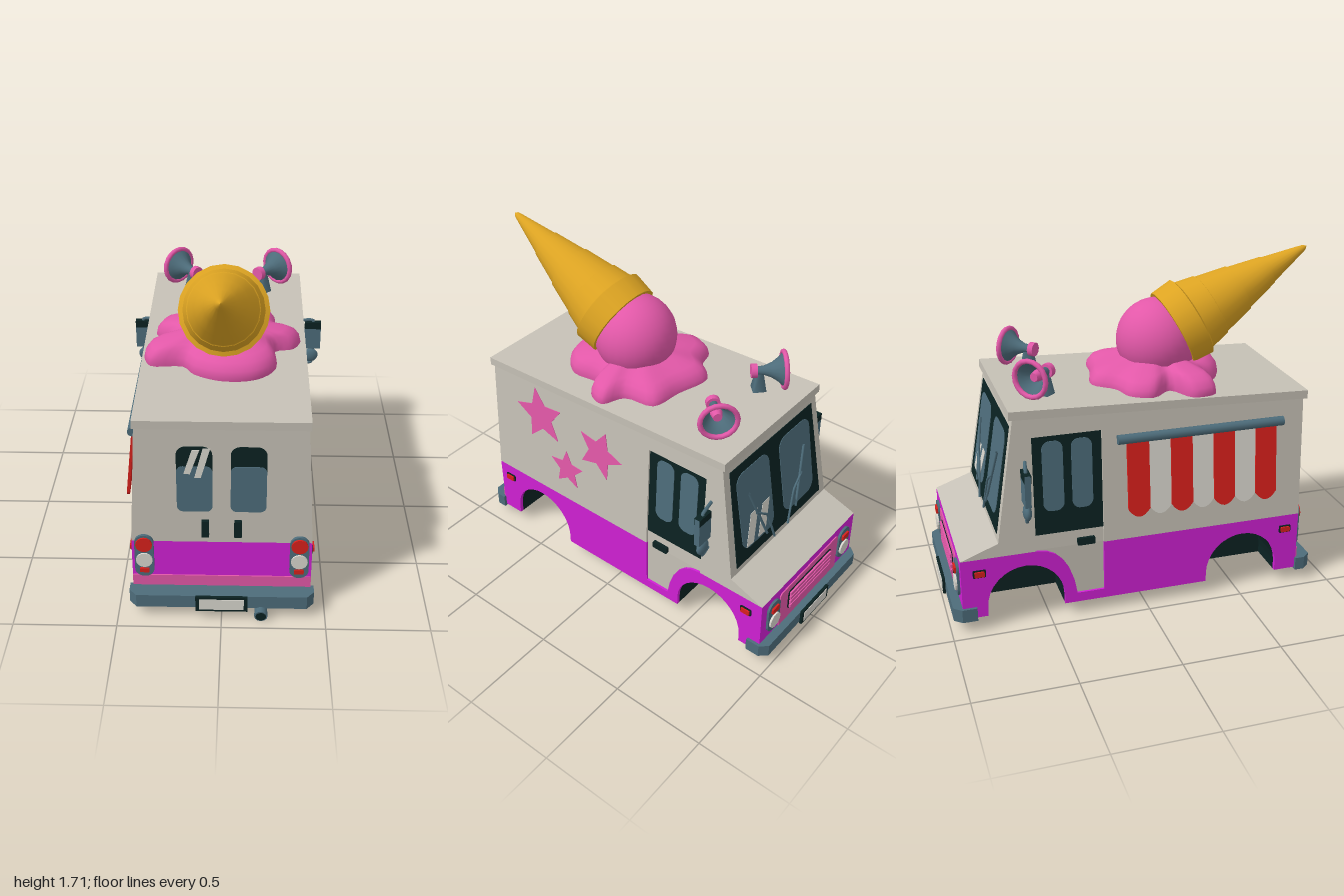
import * as THREE from 'three';

const mat = (name, color) => new THREE.MeshStandardMaterial({ name, color, side: THREE.DoubleSide });
const M = {
  beige: mat('beige paint', 0xc6c1b6), magenta: mat('magenta paint', 0xd020d4), pink: mat('pink', 0xe258a8),
  gold: mat('wafer gold', 0xdda422), steel: mat('blue grey', 0x4d6c7a), dark: mat('dark', 0x0b2222),
  red: mat('red', 0xd8201c), white: mat('off white', 0xd8d6ce),
};

// Half width of the body at height y: upright below the belt line, leaning in above it
const halfWidth = y => 0.43 - Math.max(0, y - 0.4) * 0.055;

const poly = pts => new THREE.Shape(pts.map(p => new THREE.Vector2(p[0], p[1])));
function roundRect(x0, y0, x1, y1, r) {
  const s = new THREE.Shape(), h = Math.PI / 2;
  s.absarc(x1 - r, y1 - r, r, 0, h).absarc(x0 + r, y1 - r, r, h, 2 * h);
  s.absarc(x0 + r, y0 + r, r, 2 * h, 3 * h).absarc(x1 - r, y0 + r, r, 3 * h, 4 * h);
  return s;
}
const circle = (x, y, r) => new THREE.Shape().absarc(x, y, r, 0, Math.PI * 2);
function add(parent, name, geo, material, x = 0, y = 0, z = 0) {
  const m = new THREE.Mesh(geo, material);
  m.name = name;
  m.position.set(x, y, z);
  parent.add(m);
  return m;
}
const box = (p, name, m, w, h, d, x, y, z) => add(p, name, new THREE.BoxGeometry(w, h, d), m, x, y, z);
const extrude = (shape, depth) => new THREE.ExtrudeGeometry(shape, { depth, bevelEnabled: false, curveSegments: 8 });
const plate = (p, name, shape, m, z, depth = 0.006) => add(p, name, extrude(shape, depth), m, 0, 0, z);
function tube(p, name, m, pts, r) {
  const c = new THREE.CatmullRomCurve3(pts.map(a => new THREE.Vector3(...a)), false, 'catmullrom', 0.1);
  return add(p, name, new THREE.TubeGeometry(c, pts.length * 4, r, 8), m);
}
// Extrudes a (z, y) shape and lays it on the left (s = 1) or right (s = -1) side wall
function sidePanel(p, name, shape, m, s, off, depth) {
  const g = extrude(shape, depth), a = g.attributes.position, v = [];
  for (let i = 0; i < a.count; i++) {
    const j = s > 0 ? i - (i % 3) + (2 - (i % 3)) : i, y = a.getY(j);
    const o = typeof off === 'function' ? off(y) : off;
    v.push(s * (halfWidth(y) + o + a.getZ(j)), y, a.getX(j));
  }
  const out = new THREE.BufferGeometry();
  out.setAttribute('position', new THREE.Float32BufferAttribute(v, 3));
  out.computeVertexNormals();
  return add(p, name, out, m);
}
// Strip of full-width faces following a (z, y) profile
function skin(p, name, m, prof) {
  const v = [];
  for (let i = 0; i + 1 < prof.length; i++) {
    const [z0, y0] = prof[i], [z1, y1] = prof[i + 1], a = halfWidth(y0), b = halfWidth(y1);
    v.push(a, y0, z0, b, y1, z1, -b, y1, z1, a, y0, z0, -b, y1, z1, -a, y0, z0);
  }
  const g = new THREE.BufferGeometry();
  g.setAttribute('position', new THREE.Float32BufferAttribute(v, 3));
  g.computeVertexNormals();
  add(p, name, g, m);
}
function star(z, y, r, turn) {
  return poly(Array.from({ length: 10 }, (_, i) => {
    const a = turn * Math.PI / 180 + i * Math.PI / 5, q = i % 2 ? r * 0.47 : r;
    return [z + q * Math.cos(a), y + q * Math.sin(a)];
  }));
}

function buildBody(g) {
  const arch = c => [[c - 0.195, 0.08], ...Array.from({ length: 17 }, (_, i) => {
    const a = Math.PI * (1 - i / 16);
    return [c + 0.195 * Math.cos(a), 0.13 + 0.2 * Math.sin(a)];
  }), [c + 0.195, 0.08]];
  const wells = [...arch(-0.62), ...arch(0.525)];
  const fender = [[-0.36, 0.13], [-0.375, 0.21], [-0.4, 0.28], [-0.43, 0.33], [-0.47, 0.37], [-0.51, 0.39], [-0.565, 0.4]];

  skin(g, 'upperShell', M.beige, [[0.84, 0.4], [0.84, 1.045], [-0.65, 1.095], [-0.75, 0.47], [-0.94, 0.4]]);
  skin(g, 'rearLowerWall', M.magenta, [[0.84, 0.08], [0.84, 0.4]]);
  skin(g, 'noseWall', M.magenta, [[-0.94, 0.4], [-0.94, 0.08]]);
  box(g, 'chassis', M.dark, 0.44, 0.3, 1.76, 0, 0.23, -0.05);
  box(g, 'roof', M.beige, 0.805, 0.043, 1.53, 0, 1.084, 0.095).rotation.x = 0.036;

  for (const s of [1, -1]) {
    sidePanel(g, 'wheelWells', poly([[0.83, 0.081], [0.83, 0.38], [-0.93, 0.38], [-0.93, 0.081], ...wells]), M.dark, s, -0.23, 0.209);
    sidePanel(g, 'lowerSide', poly([[0.84, 0.08], [0.84, 0.4], [-0.22, 0.4], [-0.22, 0.13], ...fender,
      [-0.94, 0.4], [-0.94, 0.08], ...wells]), M.magenta, s, -0.02, 0.02);
    sidePanel(g, 'upperSide', poly([[0.84, 0.4], [0.84, 1.045], [-0.65, 1.095], [-0.75, 0.47], [-0.94, 0.4],
      [-0.565, 0.4], [-0.565, 0.99], [-0.22, 0.99], [-0.22, 0.4]]), M.beige, s, -0.02, 0.02);
    // Recessed sliding door
    sidePanel(g, 'doorBottom', poly([[-0.22, 0.4], [-0.22, 0.13], ...fender]), M.beige, s, -0.02, 0.008);
    sidePanel(g, 'doorTop', poly([[-0.22, 0.4], [-0.22, 0.99], [-0.565, 0.99], [-0.565, 0.4]]), M.beige, s, -0.02, 0.008);
    sidePanel(g, 'doorWindow', poly([[-0.22, 0.48], [-0.22, 0.99], [-0.565, 0.99], [-0.565, 0.48]]), M.dark, s, -0.012, 0.003);
    for (const z of [-0.32, -0.465])
      sidePanel(g, 'doorPane', roundRect(z - 0.052, 0.6, z + 0.052, 0.96, 0.04), M.steel, s, -0.009, 0.003);
    sidePanel(g, 'doorHandle', roundRect(-0.355, 0.4, -0.265, 0.437, 0.006), M.dark, s, -0.012, 0.016);
    for (const z of [0.765, -0.85]) {
      sidePanel(g, 'markerFrame', roundRect(z - 0.032, 0.303, z + 0.032, 0.343, 0.006), M.dark, s, 0, 0.006);
      sidePanel(g, 'markerLamp', roundRect(z - 0.025, 0.309, z + 0.025, 0.337, 0.005), M.red, s, 0, 0.014);
    }
  }
  for (const [z, y, r, t] of [[0.51, 0.86, 0.165, 6], [0.1, 0.81, 0.15, 34], [0.325, 0.6, 0.115, 16]])
    sidePanel(g, 'starDecal', star(z, y, r, t), M.pink, 1, 0, 0.003);
}

function buildAwning(g) {
  const slope = y => 0.008 + (0.93 - y) * 0.05;
  for (let i = 0; i < 7; i++) {
    const z0 = -0.1 + i * 0.1125, z1 = z0 + 0.1125, s = new THREE.Shape();
    s.moveTo(z0, 0.93).lineTo(z0, 0.57).quadraticCurveTo((z0 + z1) / 2, 0.49, z1, 0.57).lineTo(z1, 0.93);
    sidePanel(g, 'awningStripe', s, i % 2 ? M.white : M.red, -1, slope, i % 2 ? 0.006 : 0.013);
  }
  add(g, 'awningRoller', new THREE.CylinderGeometry(0.024, 0.024, 0.87, 12), M.steel, -0.415, 0.935, 0.29).rotation.x = Math.PI / 2;
}

function buildRear(g) {
  plate(g, 'rearValance', roundRect(-0.43, 0.1, 0.43, 0.2, 0.005), M.pink, 0.84);
  for (const s of [1, -1]) {
    const x = s * 0.125, c = s * 0.37;
    plate(g, 'rearWindow', roundRect(x - 0.083, 0.58, x + 0.083, 0.935, 0.045), M.dark, 0.84, 0.003);
    plate(g, 'rearPane', roundRect(x - 0.083, 0.58, x + 0.083, 0.83, 0.03), M.steel, 0.843, 0.003);
    plate(g, 'rearHandle', roundRect(s * 0.077 - 0.018, 0.44, s * 0.077 + 0.018, 0.53, 0.004), M.dark, 0.84, 0.02);
    plate(g, 'tailLampHousing', roundRect(c - 0.046, 0.2, c + 0.046, 0.44, 0.045), M.steel, 0.84, 0.014);
    plate(g, 'brakeLamp', circle(c, 0.39, 0.04), M.red, 0.85, 0.012);
    plate(g, 'reverseLamp', circle(c, 0.3, 0.04), M.white, 0.85, 0.012);
    plate(g, 'rearReflector', roundRect(c - 0.023, 0.228, c + 0.023, 0.252, 0.004), M.red, 0.85, 0.012);
  }
  for (const [x, y, h] of [[-0.175, 0.79, 0.13], [-0.125, 0.77, 0.16]])
    plate(g, 'rearGlint', poly([[x, y], [x + 0.03, y], [x + 0.075, y + h], [x + 0.04, y + h]]), M.white, 0.846, 0.002);
  // Exhaust
  const pipe = add(g, 'exhaust', new THREE.CylinderGeometry(0.032, 0.02, 0.53, 12), M.steel, 0.19, 0.068, 0.69);
  pipe.rotation.x = Math.PI / 2 + 0.09;
  add(pipe, 'exhaustOpening', new THREE.CircleGeometry(0.026, 12), M.dark, 0, 0.267, 0).rotation.x = -Math.PI / 2;
}

function buildNose(g) {
  const nose = new THREE.Group();
  nose.name = 'nose';
  nose.rotation.y = Math.PI;
  plate(nose, 'grillePanel', roundRect(-0.27, 0.1, 0.27, 0.36, 0.02), M.pink, 0.94);
  plate(nose, 'grilleBack', roundRect(-0.2, 0.2, 0.2, 0.325, 0.02), M.dark, 0.946, 0.003);
  for (let i = 0; i < 4; i++) box(nose, 'grilleBar', M.pink, 0.38, 0.02, 0.012, 0, 0.219 + i * 0.029, 0.953);
  for (const c of [0.33, -0.33]) {
    plate(nose, 'headlampHousing', roundRect(c - 0.052, 0.175, c + 0.052, 0.365, 0.045), M.steel, 0.94, 0.012);
    plate(nose, 'headlamp', circle(c, 0.242, 0.043), M.white, 0.948, 0.014);
    plate(nose, 'turnLamp', roundRect(c - 0.028, 0.302, c + 0.028, 0.336, 0.005), M.red, 0.948, 0.014);
  }
  g.add(nose);

  // Windshield lies on the sloping front wall
  const w = new THREE.Group();
  w.name = 'windshield';
  w.position.set(0, 0.47, -0.75);
  w.rotation.set(0.16, Math.PI, 0);
  plate(w, 'windshieldGlass', poly([[-0.375, 0.03], [0.375, 0.03], [0.35, 0.58], [-0.35, 0.58]]), M.dark, 0, 0.004);
  for (const s of [1, -1]) {
    plate(w, 'windshieldPane', roundRect(s * 0.18 - 0.135, 0.09, s * 0.18 + 0.135, 0.53, 0.06), M.steel, 0.004, 0.003);
    tube(w, 'wiperArm', M.steel, [[s * 0.06, 0.02, 0.01], [s * 0.12, 0.2, 0.022], [s * 0.2, 0.26, 0.022]], 0.006);
    tube(w, 'wiperBlade', M.steel, [[s * 0.13, 0.09, 0.018], [s * 0.24, 0.4, 0.018]], 0.007);
  }
  for (const x of [-0.29, -0.19])
    plate(w, 'windshieldGlint', poly([[x, 0.1], [x + 0.06, 0.1], [x + 0.12, 0.27], [x + 0.06, 0.27]]), M.white, 0.007, 0.002);
  g.add(w);
}

function buildBumpers(g) {
  for (const [s, inner, outer] of [[1, 0.835, 0.925], [-1, 0.87, 0.985]]) {
    const outline = [[-0.445, inner], [-0.445, outer - 0.04], [-0.41, outer], [0.41, outer], [0.445, outer - 0.04], [0.445, inner]];
    const geo = extrude(poly(outline.map(([x, z]) => [x, s * z])), 0.07).rotateX(Math.PI / 2);
    add(g, 'bumper', geo, M.steel, 0, 0.14, 0);
    box(g, 'plateFrame', M.dark, 0.25, 0.084, 0.014, 0, 0.1, s * (outer + 0.006));
    box(g, 'numberPlate', M.white, 0.215, 0.06, 0.004, 0, 0.1, s * (outer + 0.014));
  }
}

function buildMirrors(g) {
  for (const s of [1, -1]) {
    tube(g, 'mirrorBracket', M.steel, [[s * 0.4, 0.872, -0.6], [s * 0.48, 0.872, -0.615], [s * 0.49, 0.86, -0.615],
      [s * 0.49, 0.61, -0.615], [s * 0.48, 0.595, -0.615], [s * 0.415, 0.595, -0.6]], 0.009);
    box(g, 'mirrorHousing', M.steel, 0.092, 0.165, 0.03, s * 0.487, 0.775, -0.615);
    box(g, 'mirrorGlassTop', M.dark, 0.092, 0.04, 0.034, s * 0.487, 0.838, -0.614);
    add(g, 'roundMirror', new THREE.SphereGeometry(0.042, 14, 10).scale(1, 1, 0.5), M.steel, s * 0.48, 0.645, -0.612);
  }
}

function buildHorns(g) {
  const bell = [[0.02, 0], [0.024, 0.05], [0.04, 0.09], [0.065, 0.125], [0.092, 0.15]].map(p => new THREE.Vector2(...p));
  for (const s of [1, -1]) {
    const h = new THREE.Group();
    h.name = 'hornSpeaker';
    h.position.set(s * 0.17, 1.237, -0.425);
    h.quaternion.setFromUnitVectors(new THREE.Vector3(0, 1, 0), new THREE.Vector3(s * 0.68, 0, -0.73).normalize());
    add(h, 'hornBell', new THREE.LatheGeometry(bell, 16), M.steel);
    add(h, 'hornDriver', new THREE.CylinderGeometry(0.036, 0.036, 0.03, 14), M.pink);
    add(h, 'hornRim', new THREE.TorusGeometry(0.09, 0.013, 8, 18), M.pink, 0, 0.15, 0).rotation.x = Math.PI / 2;
    add(h, 'hornPlug', new THREE.CylinderGeometry(0.022, 0.03, 0.04, 12), M.pink, 0, 0.1, 0);
    g.add(h);
    add(g, 'hornStand', new THREE.CylinderGeometry(0.022, 0.052, 0.13, 4), M.steel, s * 0.19, 1.175, -0.445);
  }
}

function buildIceCream(g) {
  // Melted puddle: a wavy outline shrunk loop by loop toward its middle
  const outline = [[-0.11, -0.19], [0.08, -0.15], [0.24, -0.12], [0.27, 0.04], [0.375, 0.1], [0.34, 0.2], [0.25, 0.23], [0.25, 0.4],
    [0.16, 0.5], [0, 0.52], [-0.14, 0.46], [-0.2, 0.385], [-0.36, 0.38], [-0.385, 0.25], [-0.27, 0.17], [-0.35, 0.06], [-0.31, -0.05], [-0.2, -0.09]];
  const n = 72, curve = new THREE.CatmullRomCurve3(outline.map(([x, z]) => new THREE.Vector3(x, 0, z - 0.18)), true);
  const loops = [[0.97, 1.07], [1, 1.105], [0.98, 1.14], [0.91, 1.173], [0.8, 1.193], [0.6, 1.21], [0.3, 1.24]];
  const v = [], idx = [];
  loops.forEach(([f, y], i) => {
    for (let j = 0; j < n; j++) {
      const p = curve.getPoint(j / n), a = i * n + j, b = i * n + (j + 1) % n;
      v.push(p.x * f, y, p.z * f + 0.18);
      if (i + 1 < loops.length) idx.push(a, a + n, b, b, a + n, b + n);
    }
  });
  const melt = new THREE.BufferGeometry();
  melt.setAttribute('position', new THREE.Float32BufferAttribute(v, 3));
  melt.setIndex(idx);
  melt.computeVertexNormals();
  add(g, 'meltedIceCream', melt, M.pink);
  add(g, 'scoop', new THREE.SphereGeometry(0.212, 28, 20), M.pink, 0, 1.292, 0.19);

  // Wafer cone with a thick rim and stepped rings
  const prof = [[0.19, 0], [0.208, 0], [0.217, 0.115], [0.195, 0.125], [0.172, 0.23], [0.166, 0.233], [0.128, 0.4],
    [0.122, 0.403], [0.078, 0.58], [0.073, 0.583], [0.025, 0.77], [0.014, 0.81], [0, 0.824]];
  const pts = prof.flatMap((p, i) => i < 5 ? [p, p] : [p]).map(p => new THREE.Vector2(...p));
  const cone = add(g, 'waferCone', new THREE.LatheGeometry(pts, 20), M.gold, 0, 1.338, 0.27);
  cone.rotation.x = Math.PI / 2 - 0.48;
}

export function createModel() {
  const g = new THREE.Group();
  g.name = 'iceCreamTruck';
  for (const build of [buildBody, buildAwning, buildRear, buildNose, buildBumpers, buildMirrors, buildHorns, buildIceCream]) build(g);
  return g;
}
